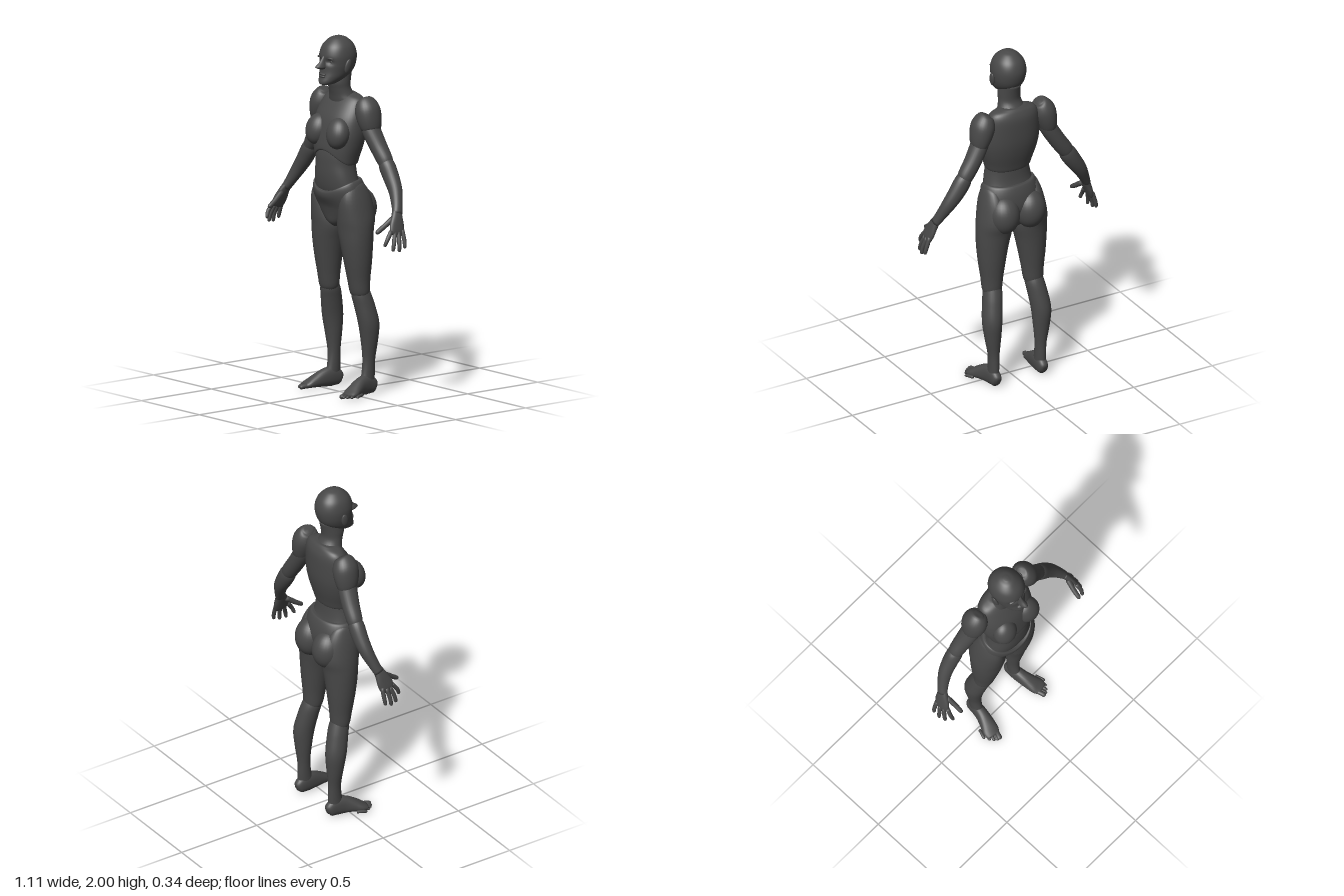
import * as THREE from 'three';

const V = (x, y, z) => new THREE.Vector3(x, y, z);
const DOWN = V(0, -1, 0), UP = V(0, 1, 0), FRONT = V(0, 0, 1);

// Closed smooth skin through elliptical sections [x, y, z, radiusU, radiusV].
// Rings are square to the path, or to a fixed axis when one is given.
function loft(sections, { ref = FRONT, axis = null, sides = 28, steps = 4, power = 2, bend = null } = {}) {
  const path = new THREE.CatmullRomCurve3(sections.map(s => V(s[0], s[1], s[2])), false, 'catmullrom');
  const radii = new THREE.CatmullRomCurve3(sections.map(s => V(s[3], s[4], 0)), false, 'catmullrom');
  const n = (sections.length - 1) * steps;
  const pos = [], index = [];
  const ring = (t, size) => {
    const c = path.getPoint(t), r = radii.getPoint(t).multiplyScalar(size);
    const T = axis || path.getTangent(t);
    const v = ref.clone().addScaledVector(T, -ref.dot(T)).normalize();
    const u = v.clone().cross(T).normalize();
    for (let j = 0; j < sides; j++) {
      const a = (j / sides) * Math.PI * 2;
      const round = w => Math.sign(w) * Math.abs(w) ** (2 / power);
      const p = c.clone().addScaledVector(u, r.x * round(Math.cos(a))).addScaledVector(v, r.y * round(Math.sin(a)));
      if (bend) bend(p);
      pos.push(p.x, p.y, p.z);
    }
  };
  ring(0, 0);
  for (let i = 0; i <= n; i++) ring(i / n, 1);
  ring(1, 0);
  for (let i = 0; i < n + 2; i++) for (let j = 0; j < sides; j++) {
    const k = (j + 1) % sides, a = i * sides + j, b = i * sides + k;
    const c = a + sides, d = b + sides;
    if (i > 0) index.push(a, b, c);
    if (i < n + 1) index.push(b, d, c);
  }
  const g = new THREE.BufferGeometry();
  g.setAttribute('position', new THREE.Float32BufferAttribute(pos, 3));
  g.setIndex(index);
  g.computeVertexNormals();
  return g;
}

// Upright form from rows [y, xMin, xMax, zFront, zBack], listed top down
const column = (rows, options) => loft(rows.map(([y, a, b, f, k]) =>
  [(a + b) / 2, y, (f + k) / 2, (b - a) / 2, (f - k) / 2]), { axis: DOWN, ...options });

// Symmetric upright form from rows [y, halfWidth, zFront, zBack]
const trunk = (rows, options) => column(rows.map(([y, w, f, k]) => [y, -w, w, f, k]), options);

const ellipsoid = (x, y, z, rx, ry, rz, tiltX = 0, tiltZ = 0) =>
  new THREE.SphereGeometry(1, 28, 20).scale(rx, ry, rz).rotateX(tiltX).rotateZ(tiltZ).translate(x, y, z);

function mirrored(geometry) {
  const g = geometry.clone().scale(-1, 1, 1), ix = g.index.array;
  for (let i = 0; i < ix.length; i += 3) [ix[i], ix[i + 1]] = [ix[i + 1], ix[i]];
  g.computeVertexNormals();
  return g;
}

export function createModel() {
  const model = new THREE.Group();
  model.name = 'mannequin';
  const skin = new THREE.MeshStandardMaterial({ color: 0x484848 });
  skin.name = 'dark grey';

  const add = (name, geometry) => {
    const mesh = new THREE.Mesh(geometry, skin);
    mesh.name = name;
    model.add(mesh);
  };
  const pair = (name, geometry) => {
    add('left ' + name, geometry);
    add('right ' + name, mirrored(geometry));
  };

  // Head, with hollowed eye sockets
  add('head', trunk([
    [2.0, .012, .025, -.005], [1.987, .045, .06, -.04], [1.95, .08, .099, -.078],
    [1.9, .095, .117, -.095], [1.85, .093, .117, -.09], [1.81, .083, .12, -.073],
    [1.78, .071, .127, -.04], [1.755, .053, .135, .0], [1.741, .035, .133, .04], [1.735, .015, .12, .08],
  ], {
    sides: 56, steps: 6, power: 2.1, bend: p => {
      if (p.z > 0) p.z -= .017 * Math.exp(-(((Math.abs(p.x) - .037) / .02) ** 2) - ((p.y - 1.866) / .014) ** 2);
    },
  }));
  add('nose', trunk([
    [1.9, .009, .116, .09], [1.868, .012, .14, .09], [1.845, .019, .168, .09],
    [1.835, .02, .166, .09], [1.826, .013, .14, .09],
  ], { sides: 20 }));
  add('upper lip', ellipsoid(0, 1.797, .122, .027, .007, .013));
  add('lower lip', ellipsoid(0, 1.785, .124, .023, .008, .012));
  pair('brow', ellipsoid(.037, 1.888, .1, .029, .007, .013, 0, -.05));
  pair('eye', ellipsoid(.037, 1.866, .086, .016, .01, .012));
  pair('ear', ellipsoid(.098, 1.842, .02, .011, .041, .021, -.2, -.12));

  add('neck', trunk([
    [1.81, .058, .06, -.075], [1.75, .063, .07, -.062], [1.71, .064, .06, -.06],
    [1.675, .074, .05, -.078], [1.645, .092, .044, -.1], [1.6, .11, .035, -.105],
  ]));

  // Rib cage, its lower edge arched upward at the front
  add('chest', trunk([
    [1.68, .07, .0, -.085], [1.66, .13, .02, -.102], [1.62, .155, .052, -.117],
    [1.55, .17, .092, -.12], [1.47, .172, .113, -.117], [1.4, .161, .12, -.105],
    [1.33, .142, .124, -.086], [1.295, .132, .122, -.076], [1.288, .12, .108, -.066],
  ], {
    sides: 48, steps: 5, power: 2.2, bend: p => {
      const low = Math.max(0, (1.45 - p.y) / .16);
      if (p.z > 0) p.y += .08 * low * Math.max(0, 1 - (p.x / .13) ** 2) * Math.min(1, p.z / .06);
    },
  }));
  pair('breast', ellipsoid(.088, 1.472, .083, .072, .088, .062, -.25, .1));
  add('abdomen', trunk([
    [1.42, .12, .1, -.06], [1.35, .128, .117, -.066], [1.29, .125, .121, -.066],
    [1.22, .137, .12, -.072], [1.15, .15, .108, -.09], [1.08, .15, .08, -.09],
  ], { sides: 40, power: 2.2 }));

  // Pelvis, its waistline dipping at the front
  add('pelvis', trunk([
    [1.205, .135, .11, -.085], [1.2, .152, .124, -.1], [1.15, .168, .121, -.118],
    [1.08, .175, .1, -.125], [1.01, .14, .08, -.11], [.96, .075, .066, -.09], [.935, .03, .04, -.06],
  ], {
    sides: 48, power: 2.15, bend: p => {
      const high = THREE.MathUtils.clamp((p.y - 1.05) / .15, 0, 1);
      if (p.z > 0) p.y -= .065 * high * Math.max(0, 1 - (p.x / .155) ** 2) * Math.min(1, p.z / .06);
    },
  }));
  pair('buttock', ellipsoid(.082, 1.04, -.08, .09, .112, .092, .1));

  // Legs
  pair('thigh', column([
    [1.192, .11, .15, .02, -.04], [1.17, .085, .166, .06, -.075], [1.1, .055, .188, .087, -.115],
    [1.0, .022, .207, .086, -.135], [.93, .01, .213, .078, -.122], [.85, .028, .212, .069, -.113],
    [.75, .048, .205, .053, -.104], [.65, .065, .193, .034, -.094], [.58, .074, .188, .02, -.089],
    [.555, .084, .179, .008, -.08],
  ]));
  pair('lower leg', column([
    [.61, .09, .175, .005, -.08], [.56, .08, .187, .012, -.102], [.5, .087, .198, .001, -.12],
    [.4, .1, .211, -.018, -.14], [.3, .108, .201, -.036, -.133], [.2, .117, .183, -.047, -.122],
    [.12, .119, .178, -.04, -.122], [.06, .12, .178, -.025, -.122],
  ]));
  pair('foot', loft([
    [.148, .036, -.133, .012, .018], [.148, .042, -.118, .028, .04], [.15, .055, -.07, .033, .055],
    [.157, .05, -.02, .036, .05], [.17, .037, .03, .042, .036], [.183, .024, .07, .046, .023],
    [.19, .016, .1, .036, .013],
  ], { ref: UP, power: 2.3 }));
  for (let i = 0; i < 5; i++) {
    const x = .178 + .015 * i, z = .138 - .004 * i * i, r = i ? .0085 : .014;
    pair('toe ' + (i + 1), loft([
      [x - .018, .018, z - .055, r, r], [x - .007, .016, z - .022, r, r],
      [x - .002, .012, z - .006, r, r * .85], [x, .01, z, r * .4, r * .4],
    ], { ref: UP, sides: 12 }));
  }

  // Arms
  pair('shoulder cap', loft([
    [.168, 1.668, -.04, .02, .025], [.175, 1.655, -.04, .045, .052], [.19, 1.61, -.041, .066, .072],
    [.205, 1.555, -.043, .063, .072], [.217, 1.505, -.046, .051, .06], [.219, 1.497, -.046, .043, .05],
  ]));
  pair('upper arm', loft([
    [.19, 1.56, -.04, .045, .05], [.217, 1.495, -.046, .048, .055], [.266, 1.41, -.057, .047, .05],
    [.31, 1.345, -.063, .046, .045], [.328, 1.316, -.063, .04, .04],
  ]));
  pair('forearm', loft([
    [.312, 1.345, -.063, .034, .035], [.333, 1.308, -.064, .048, .044], [.37, 1.25, -.063, .047, .043],
    [.415, 1.185, -.055, .04, .038], [.455, 1.115, -.033, .03, .031], [.48, 1.068, -.014, .023, .03],
  ]));
  pair('palm', loft([
    [.472, 1.085, -.018, .019, .027], [.487, 1.05, -.006, .02, .036], [.502, 1.01, .006, .018, .046],
    [.514, .975, .016, .015, .045], [.518, .96, .02, .009, .036],
  ], { power: 2.3 }));

  // Each digit: base, knuckle, tip
  const digits = {
    thumb: [[.478, 1.045, .02], [.468, 1.005, .075], [.464, .975, .122]],
    'index finger': [[.508, .985, .052], [.514, .945, .082], [.508, .905, .1]],
    'middle finger': [[.516, .975, .032], [.532, .92, .052], [.535, .877, .062]],
    'ring finger': [[.519, .975, .008], [.539, .915, .02], [.545, .872, .024]],
    'little finger': [[.518, .985, -.018], [.538, .925, -.018], [.546, .887, -.014]],
  };
  for (const [name, [a, b, c]] of Object.entries(digits)) {
    const r = name === 'thumb' ? .014 : .0115;
    const nearTip = c.map((v, i) => v + (b[i] - v) * .2);
    pair(name, loft([[...a, r * 1.1, r * 1.1], [...b, r, r], [...nearTip, r * .85, r * .85], [...c, r * .35, r * .35]],
      { sides: 12, ref: name === 'thumb' ? V(1, 0, 0) : FRONT }));
  }
  return model;
}
